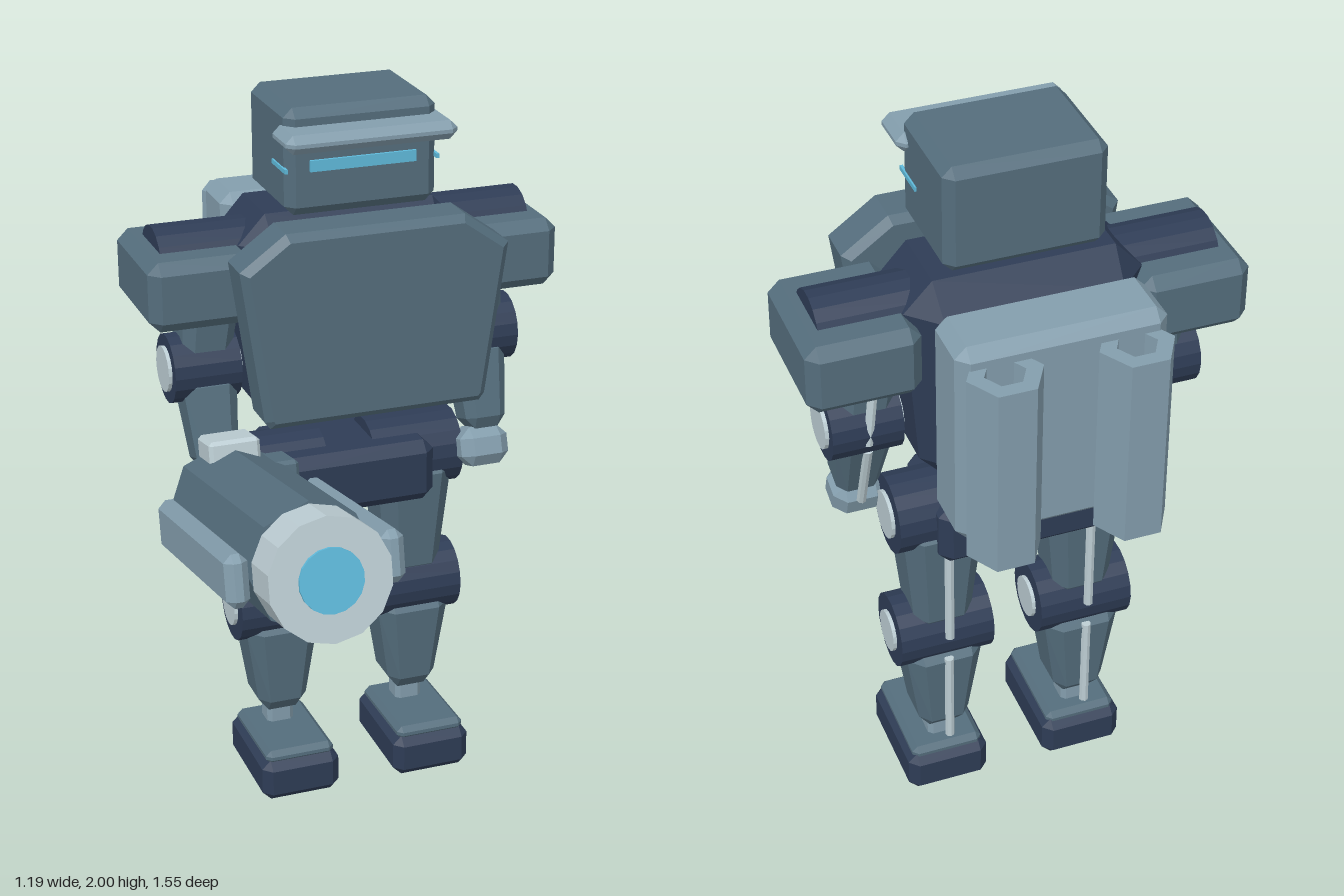
import * as THREE from 'three';
import { ConvexGeometry } from 'three/addons/geometries/ConvexGeometry.js';

const mat = (name, color) => {
  const m = new THREE.MeshStandardMaterial({ color, flatShading: true });
  m.name = name;
  return m;
};

export function createModel() {
  const steel = mat('steel', 0x546d7c);
  const lightSteel = mat('light steel', 0x839dac);
  const navy = mat('navy', 0x2e3c55);
  const pale = mat('pale metal', 0xbccdd3);
  const glow = mat('cyan glow', 0x5fbadb);

  const model = new THREE.Group();
  model.name = 'robot';
  const body = new THREE.Group();
  body.name = 'body';
  body.position.x = 0.02;
  model.add(body);

  const add = (parent, name, geometry, material, x, y, z) => {
    const mesh = new THREE.Mesh(geometry, material);
    mesh.name = name;
    mesh.position.set(x, y, z);
    parent.add(mesh);
    return mesh;
  };

  // Box with chamfered edges; the bottom is scaled by tx and tz
  const chamferBox = (w, h, d, c, tx = 1, tz = 1) => {
    const pts = [];
    for (const sx of [-1, 1]) for (const sy of [-1, 1]) for (const sz of [-1, 1])
      for (let k = 0; k < 3; k++) {
        const x = sx * (w / 2 - (k === 0 ? 0 : c));
        const y = sy * (h / 2 - (k === 1 ? 0 : c));
        const z = sz * (d / 2 - (k === 2 ? 0 : c));
        const t = y / h + 0.5;
        pts.push(new THREE.Vector3(x * (tx + (1 - tx) * t), y, z * (tz + (1 - tz) * t)));
      }
    return new ConvexGeometry(pts);
  };

  const cylX = (r, len, n = 18) => new THREE.CylinderGeometry(r, r, len, n).rotateZ(Math.PI / 2);

  // Round joint with a pale pin through it
  const joint = (name, x, y, z, r, len, pinR) => {
    const g = new THREE.Group();
    g.name = name;
    g.position.set(x, y, z);
    body.add(g);
    add(g, 'jointDrum', cylX(r, len), navy, 0, 0, 0);
    add(g, 'jointPin', cylX(pinR, len + 0.02), pale, 0, 0, 0);
  };

  // Tapered limb segment with a piston down its back
  const limb = (name, x, y, z, w, h, d, tx, tz, rx = 0, rz = 0) => {
    const g = new THREE.Group();
    g.name = name;
    g.position.set(x, y, z);
    g.rotation.set(rx, 0, rz);
    body.add(g);
    add(g, 'limbShell', chamferBox(w, h, d, Math.min(w, d) * 0.2, tx, tz), steel, 0, 0, 0);
    add(g, 'piston', new THREE.CylinderGeometry(0.013, 0.013, h * 0.9, 8), pale, 0, -h * 0.05, -d * 0.47);
  };

  // Head
  add(body, 'head', chamferBox(0.415, 0.285, 0.315, 0.025), steel, 0, 1.8575, -0.258);
  add(body, 'brim', chamferBox(0.465, 0.05, 0.145, 0.02), lightSteel, 0, 1.93, -0.083);
  add(body, 'eyeSlit', new THREE.BoxGeometry(0.29, 0.03, 0.009), glow, 0, 1.85, -0.097);
  for (const s of [-1, 1])
    add(body, 'sideSlit', new THREE.BoxGeometry(0.008, 0.012, 0.11), glow, s * 0.208, 1.84, -0.155);

  // Torso, chest plate and pelvis
  add(body, 'torso', chamferBox(0.63, 0.61, 0.35, 0.08, 0.84, 0.85), navy, 0, 1.395, -0.3);
  const half = [[0.245, 1.71], [0.37, 1.62], [0.31, 1.2], [0.295, 1.18]];
  const outline = [...half, ...half.map(([x, y]) => [-x, y]).reverse()];
  const chest = new THREE.ExtrudeGeometry(
    new THREE.Shape(outline.map(([x, y]) => new THREE.Vector2(x, y))),
    { depth: 0.1, bevelEnabled: true, bevelSegments: 1, bevelSize: 0.02, bevelThickness: 0.02, bevelOffset: -0.02 });
  add(body, 'chestPlate', chest, steel, 0, 0, -0.1);
  add(body, 'pelvis', chamferBox(0.46, 0.18, 0.3, 0.03), navy, 0, 0.92, -0.285);

  // Backpack with two open hexagonal exhaust tubes
  add(body, 'backpack', chamferBox(0.535, 0.57, 0.19, 0.03), lightSteel, 0, 1.385, -0.57);
  const hexagon = (r, Kind) => new Kind(Array.from({ length: 6 }, (_, i) =>
    new THREE.Vector2(r * Math.cos(i * Math.PI / 3), r * Math.sin(i * Math.PI / 3))));
  const tubeShape = hexagon(0.096, THREE.Shape);
  tubeShape.holes.push(hexagon(0.052, THREE.Path));
  const tube = new THREE.ExtrudeGeometry(tubeShape, { depth: 0.52, bevelEnabled: false }).rotateX(-Math.PI / 2);
  for (const s of [-1, 1]) add(body, 'exhaustTube', tube, lightSteel, s * 0.165, 1.1, -0.697);

  for (const s of [-1, 1]) {
    // Arm
    add(body, 'shoulderPad', chamferBox(0.29, 0.19, 0.36, 0.03), steel, s * 0.427, 1.525, -0.298);
    add(body, 'shoulderDrum', cylX(0.1, 0.26), navy, s * 0.388, 1.57, -0.3);
    limb('upperArm', s * 0.385, 1.38, -0.29, 0.16, 0.28, 0.175, 0.8, 0.75, 0, s * 0.1);
    joint('elbow', s * 0.4, 1.27, -0.29, 0.095, 0.185, 0.063);
    limb('forearm', s * 0.39, 1.125, -0.238, 0.155, 0.25, 0.155, 0.72, 0.75, -0.33);
    const hand = add(body, 'hand', chamferBox(0.14, 0.11, 0.12, 0.03), lightSteel, s * 0.38, 0.96, -0.182);
    hand.rotation.x = -0.33;

    // Leg
    const x = s * 0.198;
    joint('hip', x, 0.935, -0.288, 0.108, 0.26, 0.065);
    limb('thigh', x, 0.745, -0.288, 0.23, 0.38, 0.225, 0.66, 0.7);
    joint('knee', x, 0.53, -0.284, 0.102, 0.26, 0.057);
    limb('shin', x, 0.35, -0.288, 0.225, 0.31, 0.21, 0.58, 0.75);
    add(body, 'ankle', chamferBox(0.078, 0.11, 0.075, 0.012), lightSteel, x, 0.17, -0.288);
    add(body, 'foot', chamferBox(0.228, 0.125, 0.335, 0.025), navy, x, 0.0625, -0.223);
    add(body, 'toeCap', chamferBox(0.2, 0.04, 0.3, 0.015), steel, x, 0.128, -0.222).rotation.x = -0.03;
  }

  // Arm cannon: its axis is local z, pitched slightly upward
  const cannon = new THREE.Group();
  cannon.name = 'cannon';
  cannon.position.set(-0.387, 1.08, 0.61);
  cannon.rotation.x = -0.19;
  body.add(cannon);
  const cylZ = (r0, r1, len, n) => new THREE.CylinderGeometry(r0, r1, len, n).rotateX(Math.PI / 2);
  add(cannon, 'barrel', cylZ(0.165, 0.165, 0.71, 8), steel, 0, 0, -0.355);
  add(cannon, 'barrelBreech', cylZ(0.14, 0.11, 0.1, 8), navy, 0, 0, -0.76);
  add(cannon, 'muzzleRing', cylZ(0.158, 0.158, 0.13, 14), pale, 0, 0, 0.065);
  add(cannon, 'muzzleLens', cylZ(0.082, 0.082, 0.009, 18), glow, 0, 0, 0.134);
  for (const s of [-1, 1])
    add(cannon, 'sideRail', chamferBox(0.06, 0.135, 0.63, 0.02), lightSteel, s * 0.198, 0, -0.28);
  add(cannon, 'sightBlock', chamferBox(0.14, 0.075, 0.12, 0.01), pale, 0, 0.155, -0.665);
  add(cannon, 'gripMount', chamferBox(0.08, 0.15, 0.13, 0.01), steel, 0.12, 0.05, -0.63);
  add(cannon, 'ammoBox', chamferBox(0.285, 0.2, 0.23, 0.02), steel, 0.165, -0.1, -0.65);

  return model;
}
